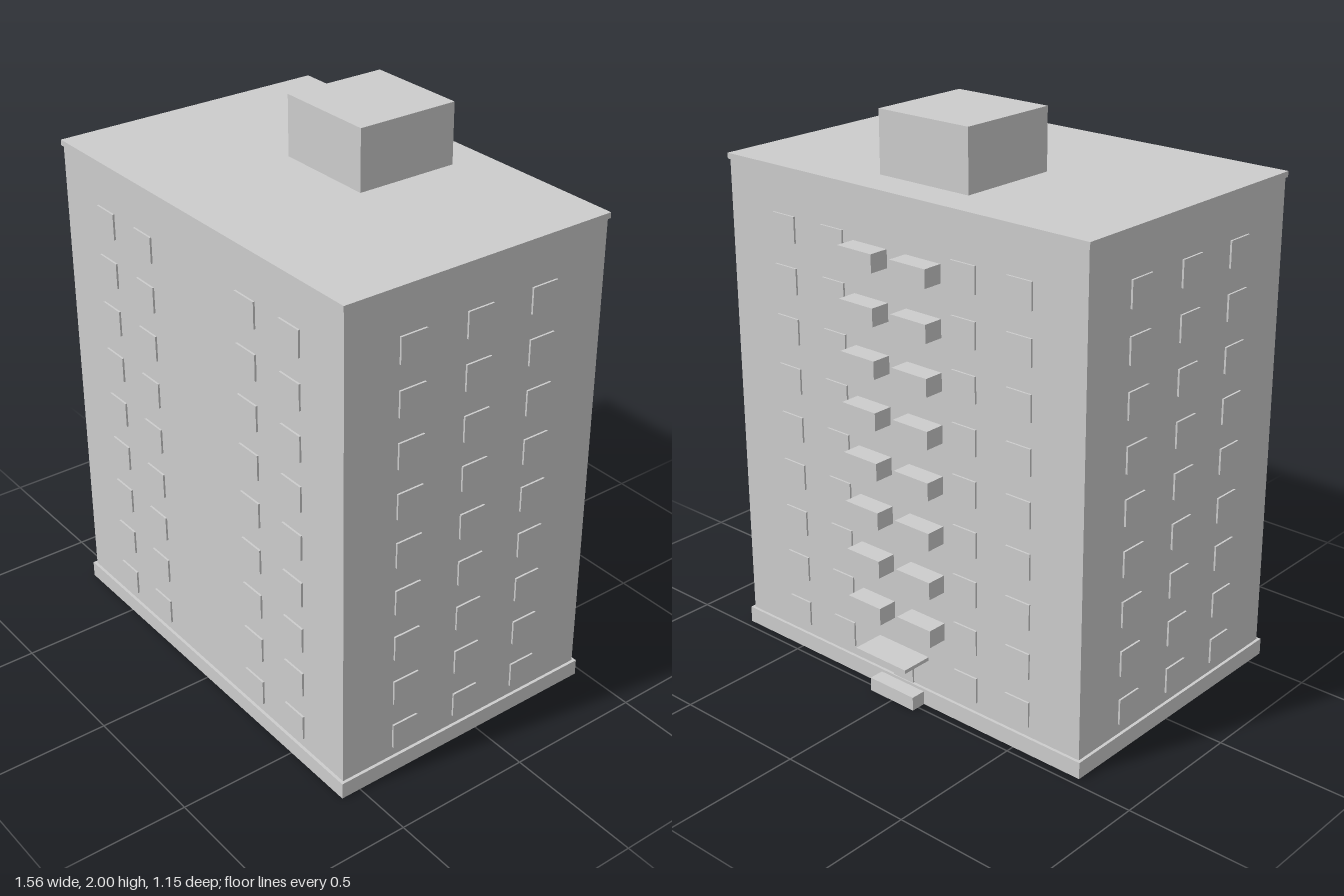
import * as THREE from 'three';

const CZ = 0.051;             // depth centre of the main block
const HX = 0.767, HZ = 0.511; // half width and half depth of the walls
const FLOOR = 0.179;          // storey height

export function createModel() {
  const building = new THREE.Group();
  building.name = 'apartmentBlock';
  const concrete = new THREE.MeshStandardMaterial({ color: 0xcccccc });
  concrete.name = 'concrete grey';

  // Box given by its lower and upper limits on each axis
  function box(name, [x0, x1], [y0, y1], [z0, z1], parent = building) {
    const mesh = new THREE.Mesh(new THREE.BoxGeometry(x1 - x0, y1 - y0, z1 - z0), concrete);
    mesh.position.set((x0 + x1) / 2, (y0 + y1) / 2, (z0 + z1) / 2);
    mesh.name = name;
    parent.add(mesh);
  }
  // Slab that overhangs the walls by a margin
  const slab = (name, m, y) => box(name, [-HX - m, HX + m], y, [CZ - HZ - m, CZ + HZ + m]);

  // Main volumes
  slab('plinth', 0.011, [0, 0.06]);
  slab('walls', 0, [0.06, 1.765]);
  slab('roofSlab', 0.006, [1.765, 1.785]);
  box('roofHouse', [-0.19, 0.19], [1.785, 2], [-0.33, 0.05]);

  // Thin windows on all four walls, nine storeys
  const windows = new THREE.Group();
  windows.name = 'windows';
  building.add(windows);
  const W = 0.05, T = 0.007;
  const back = CZ - HZ, front = CZ + HZ;
  for (let i = 0; i < 9; i++) {
    const yc = 0.143 + i * FLOOR;
    const y = [yc - 0.046, yc + 0.046];
    for (const x of [-0.51, -0.285, 0.285, 0.51]) {
      box('frontWindow', [x - W, x + W], y, [front - 0.002, front + T], windows);
      box('backWindow', [x - W, x + W], y, [back - T, back + 0.002], windows);
    }
    for (const z of [CZ - 0.258, CZ, CZ + 0.258]) {
      box('leftWindow', [HX - 0.002, HX + T], y, [z - W, z + W], windows);
      box('rightWindow', [-HX - T, -HX + 0.002], y, [z - W, z + W], windows);
    }
  }

  // Paired balconies on the back, from the second storey up
  const balconies = new THREE.Group();
  balconies.name = 'balconies';
  building.add(balconies);
  for (let i = 0; i < 8; i++) {
    const y0 = 0.28 + i * FLOOR;
    box('leftBalcony', [0.04, 0.19], [y0, y0 + 0.063], [-0.532, back], balconies);
    box('rightBalcony', [-0.19, -0.04], [y0, y0 + 0.063], [-0.532, back], balconies);
  }

  // Back entrance
  box('entranceDoor', [-0.045, 0.045], [0.06, 0.172], [back - T, back + 0.002]);
  box('entranceCanopy', [-0.115, 0.115], [0.172, 0.185], [-0.576, back]);
  box('entranceStep', [-0.1, 0.1], [0, 0.05], [-0.526, back]);

  return building;
}
